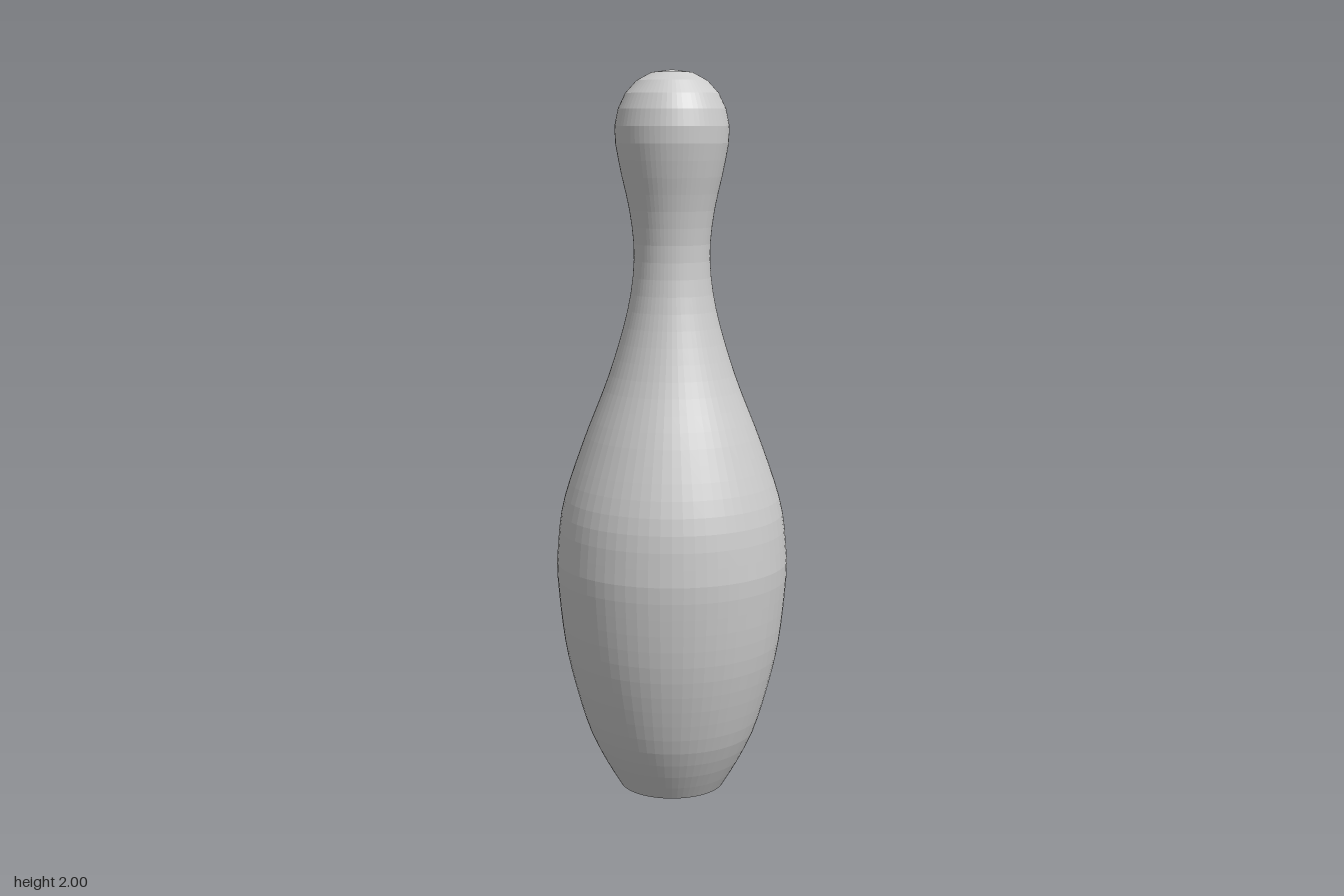
import * as THREE from 'three';

export function createModel() {
  const model = new THREE.Group();
  model.name = 'bowlingPin';
  const material = new THREE.MeshStandardMaterial({ color: 0xcccccc, flatShading: true });

  // Side contour: base edge, belly, neck, rounded head
  const contour = new THREE.SplineCurve([
    [0.148, 0], [0.2, 0.09], [0.247, 0.2], [0.298, 0.4], [0.321, 0.6], [0.321, 0.68],
    [0.303, 0.82], [0.243, 1.0], [0.173, 1.18], [0.121, 1.36], [0.104, 1.5],
    [0.115, 1.62], [0.139, 1.73], [0.155, 1.82], [0.151, 1.875], [0.134, 1.925],
    [0.1, 1.968], [0.055, 1.993],
  ].map(([r, y]) => new THREE.Vector2(r, y)));

  // Closed on the axis by a flat foot and a shallow crown
  const profile = [
    new THREE.Vector2(0, 0),
    ...contour.getSpacedPoints(46),
    new THREE.Vector2(0, 2),
  ];
  const pin = new THREE.Mesh(new THREE.LatheGeometry(profile, 64), material);
  pin.name = 'pinBody';
  model.add(pin);
  return model;
}
